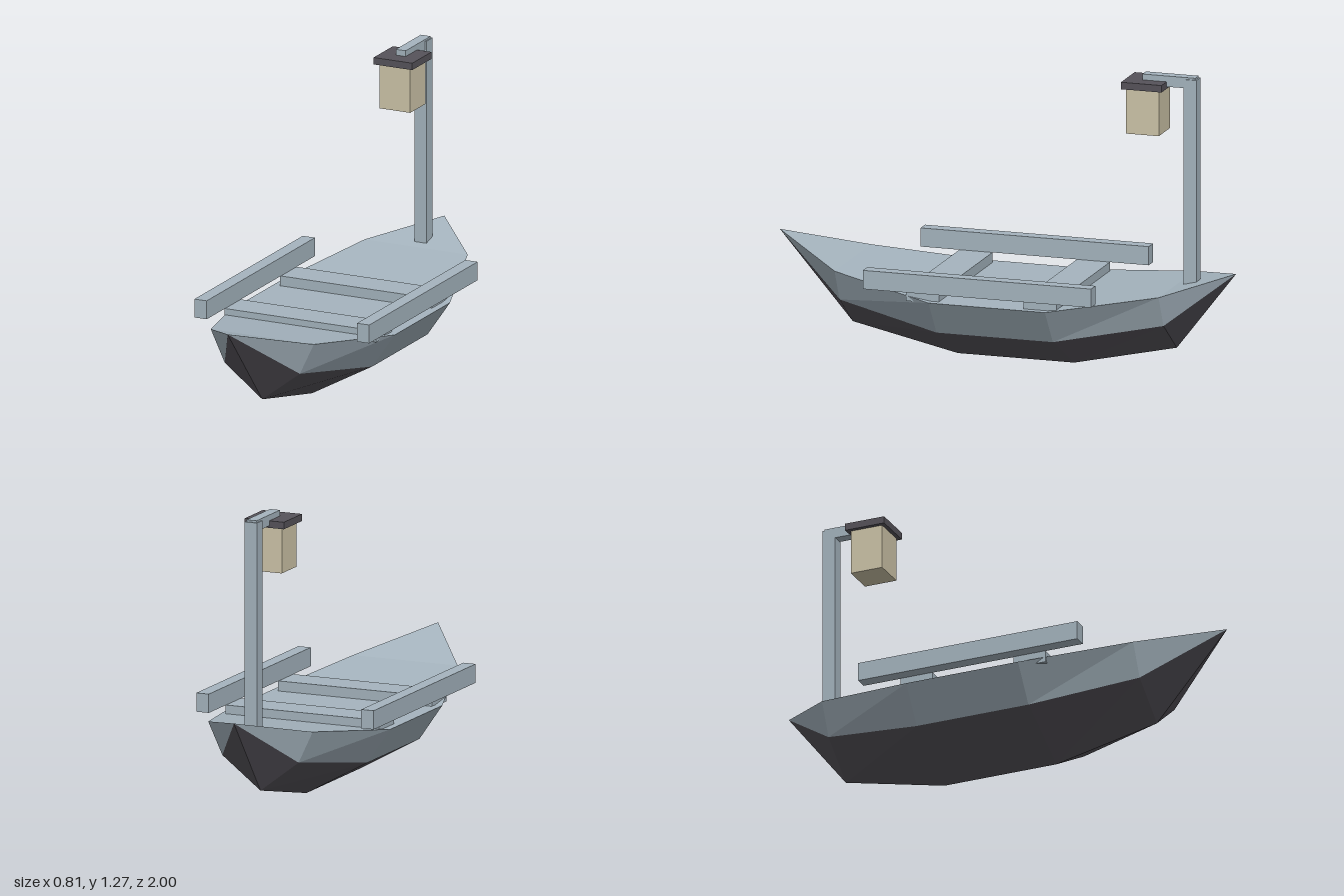
import * as THREE from 'three';

const paint = (name, color) => {
  const m = new THREE.MeshStandardMaterial({ color });
  m.name = name;
  return m;
};

export function createModel() {
  const group = new THREE.Group();
  group.name = 'rowingBoat';
  const wood = paint('paleBlueWood', 0xa5b4be);
  const dark = paint('darkCharcoal', 0x56535a);
  const glow = paint('lanternCream', 0xcdc4a8);

  const add = (name, geometry, material) => {
    const mesh = new THREE.Mesh(geometry, material);
    mesh.name = name;
    group.add(mesh);
  };
  // Box given by its minimum and maximum on each axis
  const box = (name, material, [x0, x1], [y0, y1], [z0, z1]) => {
    const g = new THREE.BoxGeometry(x1 - x0, y1 - y0, z1 - z0);
    g.translate((x0 + x1) / 2, (y0 + y1) / 2, (z0 + z1) / 2);
    add(name, g, material);
  };

  // Hull sections from bow to stern: gunwale, chine, keel, chine, gunwale
  const section = (z, gx, gy, cx, cy, ky) => [
    [-gx, gy, z], [-cx, cy, z], [0, ky, z], [cx, cy, z], [gx, gy, z],
  ];
  const tip = (z, y) => section(z, 0, y, 0, y, y);
  const sections = [
    tip(1, 0.47),
    section(0.68, 0.24, 0.372, 0.175, 0.235, 0.1),
    section(0.22, 0.385, 0.307, 0.28, 0.155, 0),
    section(-0.29, 0.385, 0.307, 0.28, 0.155, 0),
    section(-0.74, 0.24, 0.372, 0.175, 0.235, 0.1),
    tip(-1, 0.437),
  ];
  // Skin the chosen strips between neighbouring sections, flat faced
  const skin = (strips) => {
    const pos = [];
    for (let s = 0; s < sections.length - 1; s++) {
      for (const i of strips) {
        const j = (i + 1) % 5;
        const a = sections[s][i], b = sections[s][j];
        const c = sections[s + 1][j], d = sections[s + 1][i];
        if (s < sections.length - 2) pos.push(...a, ...d, ...c);
        if (s > 0) pos.push(...a, ...c, ...b);
      }
    }
    const g = new THREE.BufferGeometry();
    g.setAttribute('position', new THREE.Float32BufferAttribute(pos, 3));
    g.computeVertexNormals();
    return g;
  };
  add('lowerHull', skin([1, 2]), dark);
  add('upperHull', skin([0, 3]), wood);
  add('deck', skin([4]), wood);

  // Thwarts and side rails
  box('frontThwart', wood, [-0.353, 0.353], [0.3, 0.35], [0.185, 0.33]);
  box('rearThwart', wood, [-0.353, 0.353], [0.3, 0.35], [-0.33, -0.185]);
  box('leftRail', wood, [0.35, 0.407], [0.35, 0.43], [-0.5, 0.5]);
  box('rightRail', wood, [-0.407, -0.35], [0.35, 0.43], [-0.5, 0.5]);

  // Lantern post at the stern, with its arm reaching forward
  box('post', wood, [-0.028, 0.028], [0.34, 1.26], [-0.835, -0.778]);
  box('arm', wood, [-0.023, 0.023], [1.222, 1.268], [-0.828, -0.597]);
  box('lanternCap', dark, [-0.09, 0.09], [1.213, 1.243], [-0.703, -0.525]);
  box('lanternBody', glow, [-0.072, 0.072], [1.02, 1.213], [-0.685, -0.542]);

  return group;
}
